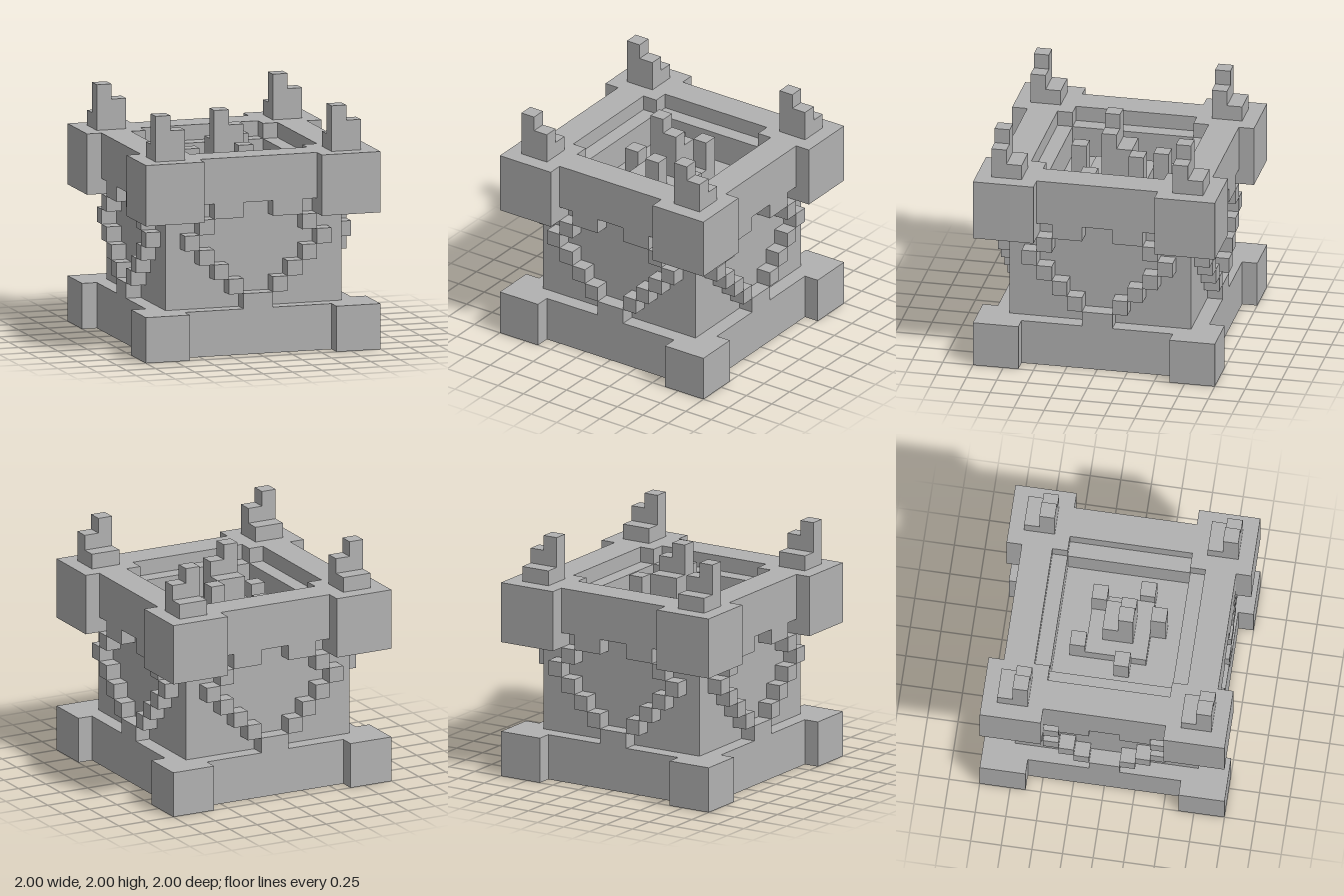
import * as THREE from 'three';

const U = 0.125; // one block unit

export function createModel() {
  const stone = new THREE.MeshStandardMaterial({ color: 0xb2b2b2 });
  stone.name = 'stone grey';
  const model = new THREE.Group();
  model.name = 'brazier';

  // Box between two corners given in block units
  function block(parent, name, x0, x1, y0, y1, z0, z1) {
    const geo = new THREE.BoxGeometry((x1 - x0) * U, (y1 - y0) * U, (z1 - z0) * U);
    const mesh = new THREE.Mesh(geo, stone);
    mesh.position.set((x0 + x1) / 2 * U, (y0 + y1) / 2 * U, (z0 + z1) / 2 * U);
    mesh.name = name;
    parent.add(mesh);
  }

  // Flame of three steps: low back, tall and medium front
  function flame(name, x, y, z) {
    const g = new THREE.Group();
    g.name = name;
    block(g, 'flameBack', -1, 1, 0, 1, -1, 0);
    block(g, 'flameTall', -1, 0, 0, 3, 0, 1);
    block(g, 'flameMedium', 0, 1, 0, 2, 0, 1);
    g.position.set(x * U, y * U, z * U);
    model.add(g);
  }

  // Base slab and body up to the pit floor
  block(model, 'baseSlab', -7, 7, 0, 3, -7, 7);
  block(model, 'body', -6, 6, 3, 10, -6, 6);

  // Corner feet, corner capitals and the flames on them
  for (const sx of [-1, 1]) for (const sz of [-1, 1]) {
    const span = (s, a, b) => (s > 0 ? [a, b] : [-b, -a]);
    block(model, 'cornerFoot', ...span(sx, 5, 8), 0, 3, ...span(sz, 5, 8));
    block(model, 'cornerCapital', ...span(sx, 4, 8), 9, 13, ...span(sz, 4, 8));
    flame('cornerFlame', sx * 6, 13, sz * 6);
  }

  // Each side: rim, inner ledge, hanging teeth and a stepped garland
  for (let i = 0; i < 4; i++) {
    const side = new THREE.Group();
    side.name = 'side';
    block(side, 'rim', -4, 4, 10, 13, 5, 7);
    block(side, 'innerLedge', -4, 4, 10, 12, 4, 5);
    block(side, 'baseStep', -1, 1, 3, 4, 6, 7);
    for (const s of [-1, 1]) {
      block(side, 'rimTooth', s * 2 - 1, s * 2 + 1, 9, 10, 6, 7);
      [[1.5, 4], [2.5, 5], [3.5, 6], [4.5, 7], [3.5, 8]].forEach(([x, y]) =>
        block(side, 'garlandBlock', s * x - 0.5, s * x + 0.5, y, y + 1, 6, 7));
    }
    side.rotation.y = i * Math.PI / 2;
    model.add(side);
  }

  // Fire in the pit: ember bed, central flame and single tongues
  block(model, 'emberBed', -2, 2, 10, 11, -2, 2);
  block(model, 'flameStem', -1, 1, 11, 12, -1, 1);
  flame('centreFlame', 0, 12, 0);
  [[-2, -3, 12], [1, -2, 13], [-3, 0, 12], [2, 1, 12], [0, 2, 13]].forEach(([x, z, top]) =>
    block(model, 'flameTongue', x, x + 1, 10, top, z, z + 1));

  return model;
}
